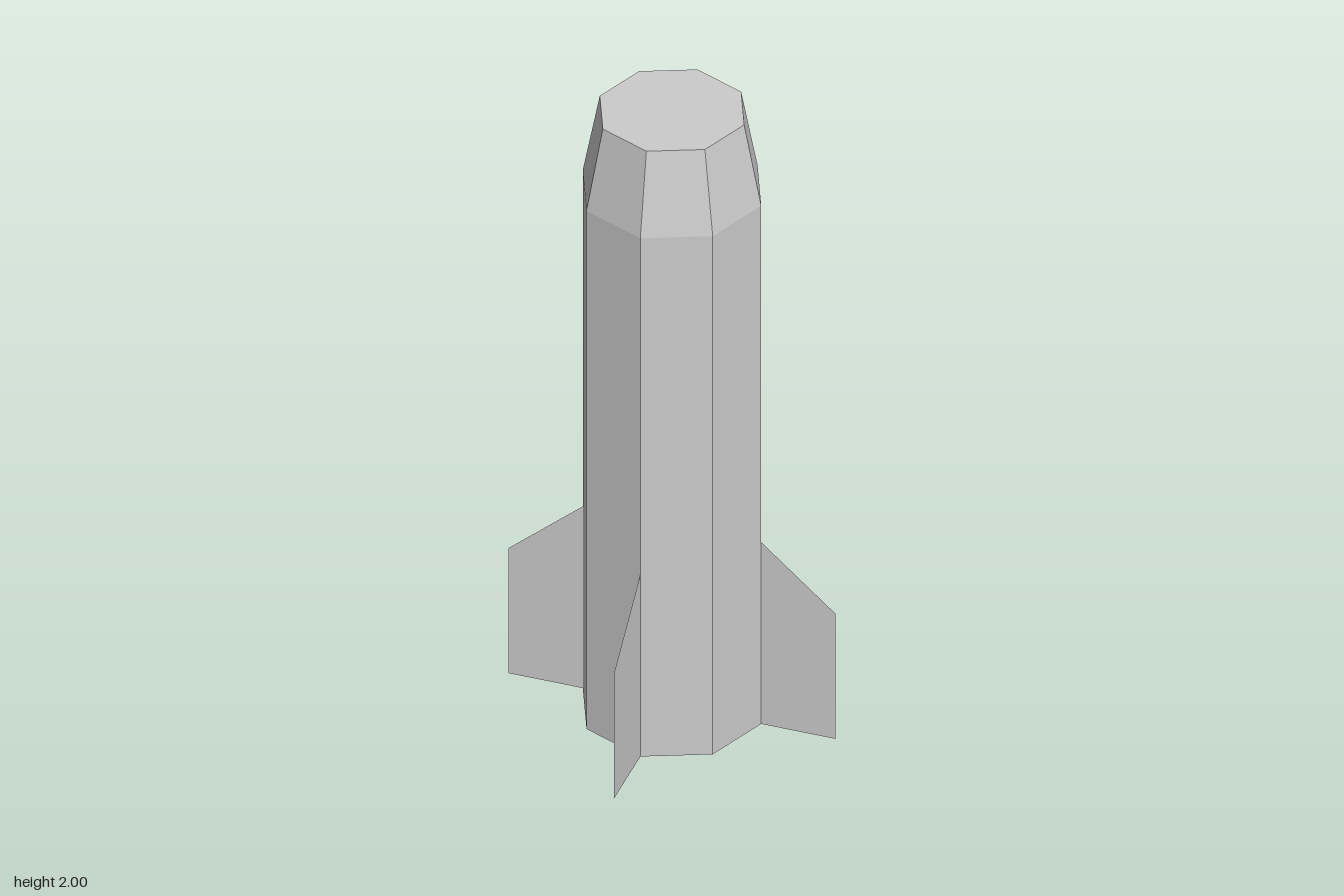
import * as THREE from 'three';

export function createModel() {
  const group = new THREE.Group();
  const hullMaterial = new THREE.MeshStandardMaterial({ color: 0xcccccc, flatShading: true });
  const finMaterial = new THREE.MeshStandardMaterial({
    color: 0xcccccc, flatShading: true, side: THREE.DoubleSide,
  });

  // Eight-sided hull: flat base, straight body, tapered nose with a flat top
  const profile = [[0, 0], [0.262, 0], [0.262, 1.74], [0.212, 2], [0, 2]]
    .map(([r, y]) => new THREE.Vector2(r, y));
  const hull = new THREE.Mesh(new THREE.LatheGeometry(profile, 8), hullMaterial);
  hull.name = 'hull';
  group.add(hull);

  // Four thin fins, each growing from a vertical edge of the hull
  const finShape = new THREE.Shape([[0.262, 0], [0.48, 0], [0.48, 0.42], [0.262, 0.61]]
    .map(([x, y]) => new THREE.Vector2(x, y)));
  const finGeometry = new THREE.ShapeGeometry(finShape);
  ['leftFin', 'backFin', 'rightFin', 'frontFin'].forEach((name, i) => {
    const fin = new THREE.Mesh(finGeometry, finMaterial);
    fin.name = name;
    fin.rotation.y = i * Math.PI / 2;
    group.add(fin);
  });

  return group;
}
